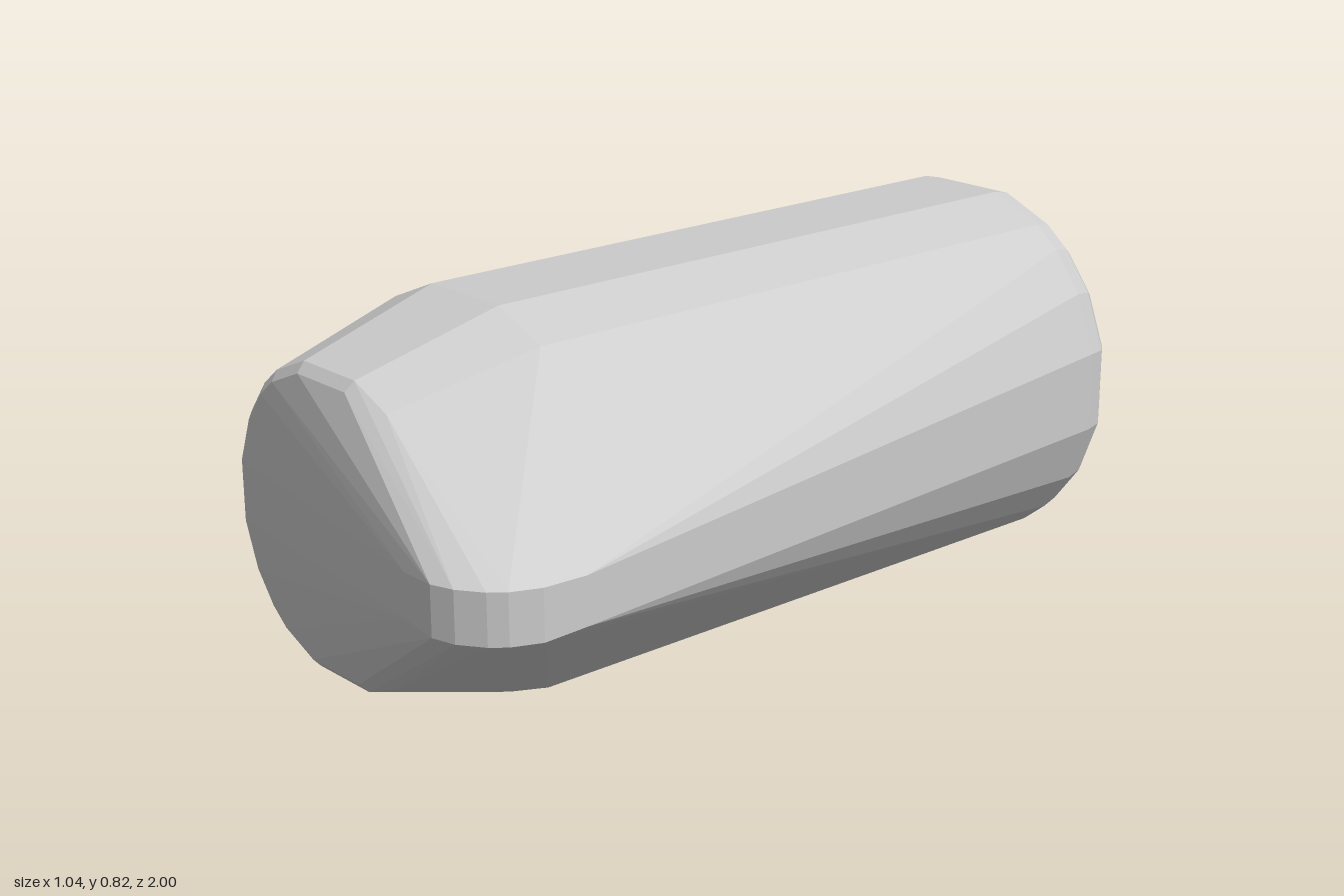
import * as THREE from 'three';
import { ConvexGeometry } from 'three/addons/geometries/ConvexGeometry.js';

const CX = -0.1, CY = 0.413;

// One quarter of the rounded barrel section, mirrored into four
const quarter = [[0.42, 0.09], [0.37, 0.22], [0.3, 0.31], [0.24, 0.358], [0.11, 0.412]];

// Barrel rings from back to front: z, scale of the section
const rings = [
  [-1, 0.775], [-0.965, 0.9], [-0.925, 0.975], [-0.88, 1],
  [0.56, 1], [0.885, 0.78], [0.905, 0.73],
];

// Rounded pointed tip on the left side: x, z, half height
const tip = [
  [0.28, 0.992, 0.046], [0.37, 1, 0.052], [0.42, 0.985, 0.053],
  [0.47, 0.95, 0.053], [0.495, 0.92, 0.053], [0.52, 0.86, 0.053], [0.52, 0.76, 0.05],
];

export function createModel() {
  const points = [];
  for (const [z, s] of rings)
    for (const [x, y] of quarter)
      for (const sx of [-1, 1])
        for (const sy of [-1, 1])
          points.push(new THREE.Vector3(CX + sx * x * s, CY + sy * y * s, z));

  for (const [x, z, h] of tip)
    for (const sy of [-1, 1]) points.push(new THREE.Vector3(x, 0.417 + sy * h, z));

  // The body is the taut skin around the barrel and the tip
  const body = new THREE.Mesh(
    new ConvexGeometry(points),
    new THREE.MeshStandardMaterial({ color: 0xcccccc, flatShading: true })
  );
  body.name = 'body';

  const group = new THREE.Group();
  group.name = 'taperedCapsule';
  group.add(body);
  return group;
}
